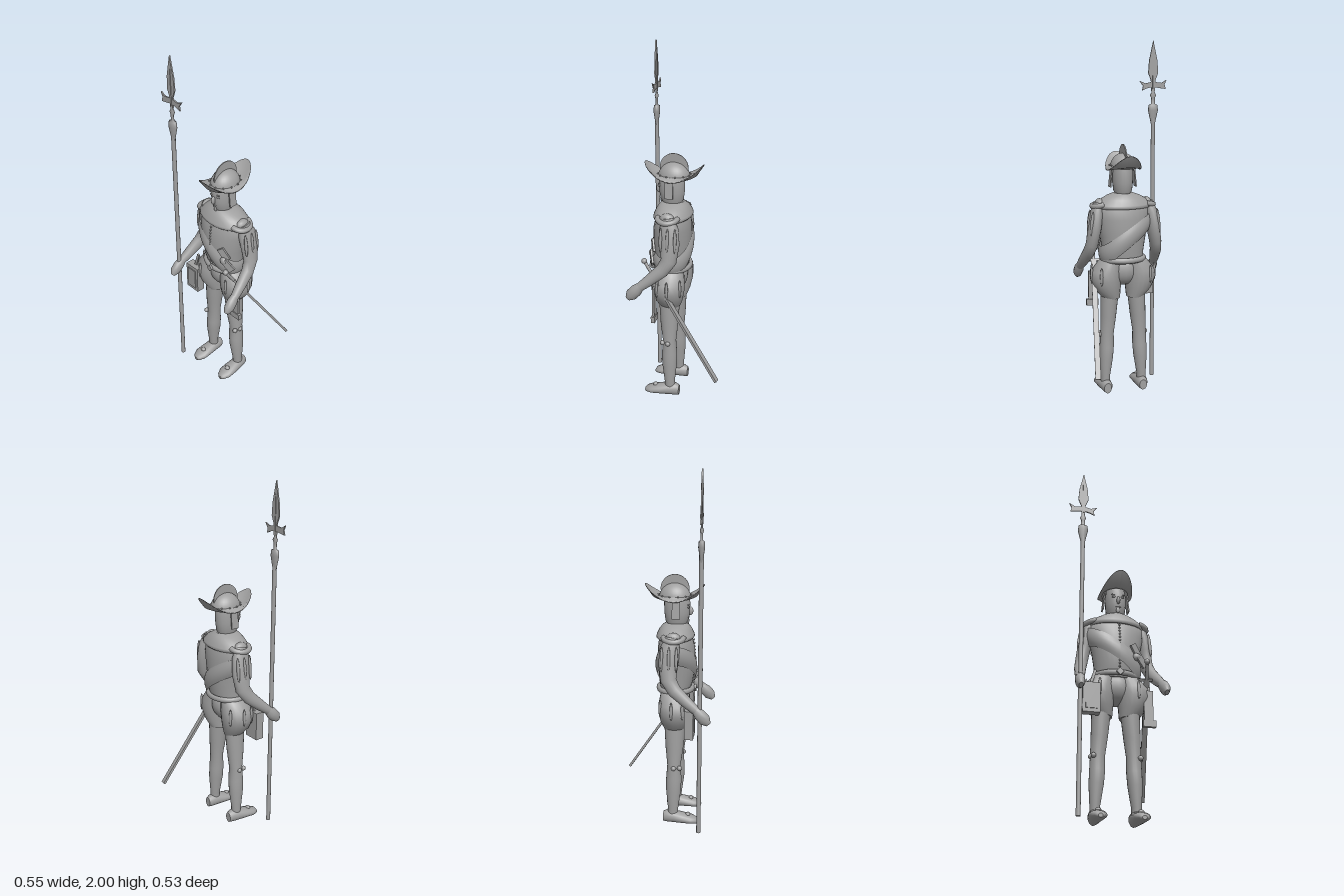
import * as THREE from 'three';

const gray = new THREE.MeshStandardMaterial({ color: 0xa0a0a0, side: THREE.DoubleSide });
gray.name = 'plain gray';
const X = new THREE.Vector3(1, 0, 0), Y = new THREE.Vector3(0, 1, 0), Z = new THREE.Vector3(0, 0, 1);

function add(parent, name, geo, x = 0, y = 0, z = 0) {
  const m = new THREE.Mesh(geo, gray);
  m.name = name;
  m.position.set(x, y, z);
  parent.add(m);
  return m;
}

const ball = (rx, ry = rx, rz = rx, w = 16, h = 12) => new THREE.SphereGeometry(1, w, h).scale(rx, ry, rz);
const box = (w, h, d) => new THREE.BoxGeometry(w, h, d);

// Skin elliptical rings [x, y, z, radius along x, other radius], with flat end caps
function loft(rows, dir = null, n = 20) {
  const last = rows.length - 1, pos = [], idx = [];
  const ring = (i, k) => {
    const r = rows[i];
    const d = dir ? dir.clone() : new THREE.Vector3(...rows[Math.min(i + 1, last)])
      .sub(new THREE.Vector3(...rows[Math.max(i - 1, 0)])).normalize();
    const u = X.clone().cross(d).normalize(), v = d.clone().cross(u);
    for (let j = 0; j < n; j++) {
      const a = j / n * Math.PI * 2, p = new THREE.Vector3(r[0], r[1], r[2]);
      p.addScaledVector(u, Math.cos(a) * r[4] * k).addScaledVector(v, Math.sin(a) * r[3] * k);
      pos.push(p.x, p.y, p.z);
    }
  };
  ring(0, 0); ring(0, 1);
  rows.forEach((_, i) => ring(i, 1));
  ring(last, 1); ring(last, 0);
  for (let i = 0; i < rows.length + 3; i++) {
    if (i === 1 || i === rows.length + 1) continue;
    for (let j = 0; j < n; j++) {
      const a = i * n + j, b = i * n + (j + 1) % n;
      idx.push(a, b, a + n, b, b + n, a + n);
    }
  }
  const g = new THREE.BufferGeometry();
  g.setAttribute('position', new THREE.Float32BufferAttribute(pos, 3));
  g.setIndex(idx);
  g.computeVertexNormals();
  return g;
}

// Move every vertex by a rule
function warp(geo, rule) {
  const p = geo.attributes.position, v = new THREE.Vector3();
  for (let i = 0; i < p.count; i++) {
    rule(v.fromBufferAttribute(p, i));
    p.setXYZ(i, v.x, v.y, v.z);
  }
  geo.computeVertexNormals();
  return geo;
}

function plate(points, depth) {
  const s = new THREE.Shape(points.map(p => new THREE.Vector2(...p)));
  return new THREE.ExtrudeGeometry(s, { depth, bevelEnabled: false }).translate(0, 0, -depth / 2);
}

function helmetAndHead(fig) {
  const head = new THREE.Group();
  head.name = 'head';
  fig.add(head);
  add(head, 'face', loft([[0, 1.12, .05, .04, .045], [0, 1.155, .05, .042, .05], [0, 1.175, .052, .052, .064],
    [0, 1.22, .053, .057, .071], [0, 1.28, .053, .058, .073], [0, 1.33, .05, .05, .06]], Y));
  add(head, 'nose', ball(.01, .024, .016), 0, 1.23, .127);
  add(head, 'mouth', ball(.018, .005, .006), 0, 1.195, .115);
  add(head, 'beard', ball(.01, .02, .008), 0, 1.175, .113);
  for (const s of [-1, 1]) {
    add(head, 'eye', ball(.012, .006, .006), s * .024, 1.254, .118);
    add(head, 'eyebrow', box(.024, .005, .008), s * .024, 1.268, .118);
    add(head, 'cheekGuard', box(.007, .1, .045), s * .069, 1.245, .053).rotation.z = s * .1;
  }
  // Helmet: dome, upswept boat brim, comb and rivets
  add(head, 'helmetDome', new THREE.SphereGeometry(1, 28, 10, 0, Math.PI * 2, 0, Math.PI / 2)
    .scale(.073, .085, .089), 0, 1.3, .041);
  const rim = [[1, -.004], [1.5, -.006], [2, -.003], [2, .003], [1.5, .003], [1, .008]];
  const brim = new THREE.LatheGeometry(rim.map(p => new THREE.Vector2(...p)), 40);
  add(head, 'helmetBrim', warp(brim, v => {
    const r = Math.hypot(v.x, v.z), t = r - 1, c = v.z / r;
    v.set(v.x / r * (.071 + .023 * t), v.y + .085 * c * c * t * t - .015 * t, c * (.087 + .078 * t));
  }), 0, 1.308, .04);
  add(head, 'helmetComb', new THREE.CylinderGeometry(.08, .08, .006, 32).rotateZ(Math.PI / 2), 0, 1.353, .041);
  for (let i = 0; i < 12; i++) {
    const a = (i + .5) / 12 * Math.PI * 2;
    add(head, 'rivet', ball(.005, .005, .005, 8, 6), Math.sin(a) * .075, 1.318, .041 + Math.cos(a) * .091);
  }
}

function torso(fig) {
  add(fig, 'doublet', loft([[0, .77, .045, .115, .08], [0, .83, .05, .118, .095], [0, .92, .052, .132, .105],
    [0, 1.02, .05, .152, .104], [0, 1.08, .046, .154, .092], [0, 1.12, .045, .12, .075]], Y, 28));
  add(fig, 'collar', loft([[0, 1.08, .045, .152, .1], [0, 1.088, .045, .164, .107], [0, 1.1, .045, .162, .104],
    [0, 1.13, .045, .128, .09], [0, 1.15, .047, .09, .075], [0, 1.162, .048, .055, .06]], Y, 28));
  for (let i = 0; i < 14; i++)
    add(fig, 'button', ball(.006, .006, .006, 8, 6), 0, .82 + i * .019, .148 + .008 * Math.sin(i / 13 * Math.PI));
  add(fig, 'belt', new THREE.TorusGeometry(.118, .015, 8, 32).rotateX(Math.PI / 2).scale(1, 1.1, .82), 0, .788, .047);
  add(fig, 'buckle', box(.03, .03, .012), 0, .787, .158).rotation.z = Math.PI / 4;
  // Sash from right shoulder to left hip, all round the body
  const sash = new THREE.CylinderGeometry(1, 1, 1, 48, 6, true);
  add(fig, 'sash', warp(sash, v => {
    const bulge = .012 * (1 - 4 * v.y * v.y);
    const y = .91 - .1 * v.x + v.y * .11;
    const r = .12 + (y - .8) * .16;
    v.set(v.x * (r + .006 + bulge), y, .05 + v.z * (.1 + .006 + bulge));
  }));
  add(fig, 'sashKnot', ball(.022, .022, .018), .095, .885, .143);
  for (const [x, y, a] of [[.092, .925, .6], [.125, .865, .75]]) {
    const tail = add(fig, 'sashTail', box(.04, .075, .012), x, y, .138);
    tail.rotation.set(0, .45, a);
  }
}

function limbs(fig) {
  for (const s of [-1, 1]) {
    const side = new THREE.Group();
    side.name = s < 0 ? 'rightLimbs' : 'leftLimbs';
    fig.add(side);
    const m = rows => rows.map(r => [r[0] * s, ...r.slice(1)]);
    // Arm and hand
    add(side, 'arm', loft(m([[.145, 1.11, .04, .025, .035], [.158, 1.05, .03, .036, .055], [.17, .97, .022, .037, .054],
      [.185, .88, .025, .034, .044], [.198, .825, .06, .032, .038], [.212, .765, .13, .028, .031],
      [.222, .725, .18, .022, .025]])));
    add(side, 'hand', loft(m([[.221, .735, .172, .02, .022], [.224, .705, .2, .027, .034],
      [.227, .675, .228, .025, .034], [.227, .652, .248, .012, .016]]), null, 12));
    for (let i = 0; i < 3; i++) {
      const slit = add(side, 'sleeveSlash', ball(.01, .07, .009, 10, 10), s * (.192 + (i === 1) * .008), 1.0, -.012 + i * .04);
      slit.rotation.z = s * .1;
    }
    // Shoulder wing and ball
    add(side, 'shoulderWing', new THREE.TorusGeometry(.055, .015, 8, 20, Math.PI).rotateZ(-s * Math.PI / 2)
      .rotateX(-Math.PI / 2), s * .123, 1.105, .046).rotation.z = -s * .25;
    add(side, 'shoulderBall', ball(.026, .03, .04), s * .136, 1.105, .045);
    // Puffed breeches with slashes
    add(side, 'breeches', loft(m([[.07, .56, .047, .05, .055], [.09, .61, .05, .074, .078], [.1, .67, .052, .09, .093],
      [.095, .72, .05, .088, .09], [.075, .77, .047, .07, .078], [.06, .795, .046, .058, .072]]), Y));
    for (const a of [.1, 1.0, 1.7, 2.6]) {
      const x = .097 + .088 * Math.sin(a), z = .051 + .09 * Math.cos(a);
      add(side, 'breechesSlash', ball(.009, .052, .009, 10, 10), s * x, .7, z);
    }
    // Stocking leg, garter rosettes, shoe
    add(side, 'leg', loft(m([[.108, .04, .042, .026, .028], [.108, .09, .044, .027, .03], [.102, .2, .046, .039, .043],
      [.098, .27, .047, .041, .044], [.096, .35, .047, .039, .038], [.088, .45, .049, .045, .05],
      [.078, .6, .05, .052, .06]]), Y));
    add(side, 'garterRosette', ball(.014), s * .132, .342, .048);
    add(side, 'garterRosette', ball(.014), s * .125, .342, .082);
    add(side, 'shoe', loft(m([[.106, .032, -.012, .022, .03], [.106, .037, .01, .032, .037], [.108, .036, .05, .037, .036],
      [.109, .03, .1, .042, .03], [.11, .024, .15, .043, .024], [.11, .018, .18, .028, .018],
      [.11, .012, .192, .012, .01]]), Z));
    add(side, 'shoeRosette', ball(.016, .012, .014), s * .109, .052, .13);
  }
  add(fig, 'breechesSeat', ball(.09, .095, .082), 0, .725, .047);
}

function polearm(root) {
  const g = new THREE.Group();
  g.name = 'polearm';
  g.position.set(-.2, 0, .2);
  root.add(g);
  add(g, 'shaft', new THREE.CylinderGeometry(.012, .012, 1.62, 12), 0, .81, 0);
  const prof = [[.012, 1.53], [.016, 1.55], [.03, 1.61], [.026, 1.64], [.012, 1.645], [.011, 1.68], [.018, 1.695], [.01, 1.71], [.008, 1.75]];
  add(g, 'socket', new THREE.LatheGeometry(prof.map(p => new THREE.Vector2(...p)), 10).scale(1, 1, .6));
  add(g, 'spearBlade', plate([[-.01, 1.72], [.01, 1.72], [.013, 1.78], [.029, 1.82], [.024, 1.89], [0, 2],
    [-.024, 1.89], [-.029, 1.82], [-.013, 1.78]], .008));
  add(g, 'bladeRidge', box(.007, .2, .014), 0, 1.83, 0);
  add(g, 'axeEar', plate([[-.008, 1.74], [-.008, 1.77], [-.05, 1.765], [-.08, 1.782], [-.068, 1.757], [-.075, 1.73]], .008));
  add(g, 'beak', plate([[.008, 1.77], [.008, 1.74], [.035, 1.735], [.065, 1.722], [.06, 1.748], [.08, 1.775], [.045, 1.762]], .008));
}

function sword(root) {
  const g = new THREE.Group();
  g.name = 'sword';
  g.position.set(.167, .85, .175);
  g.lookAt(.243, .196, -.257);
  root.add(g);
  add(g, 'pommel', ball(.016));
  add(g, 'grip', new THREE.CylinderGeometry(.009, .009, .1, 10).rotateX(Math.PI / 2), 0, 0, .05);
  add(g, 'crossGuard', box(.1, .012, .014), 0, 0, .1);
  add(g, 'scabbard', box(.03, .014, .69), 0, 0, .443);
}

export function createModel() {
  const root = new THREE.Group();
  root.name = 'guardsman';
  const fig = new THREE.Group();
  fig.name = 'figure';
  fig.position.x = .022;
  root.add(fig);
  helmetAndHead(fig);
  torso(fig);
  limbs(fig);
  polearm(root);
  sword(root);
  // Lantern-like pouch on the right hip
  add(root, 'pouch', box(.094, .165, .05), -.132, .628, .138);
  add(root, 'pouchPanel', box(.062, .125, .008), -.132, .628, .164);
  add(root, 'pouchStrap', box(.015, .09, .01), -.12, .75, .13).rotation.z = -.3;
  // Hanging strap with end piece on the left hip
  add(root, 'hangerStrap', box(.05, .17, .012), .185, .62, .115);
  add(root, 'hangerEnd', box(.07, .036, .022), .188, .52, .115);
  return root;
}
